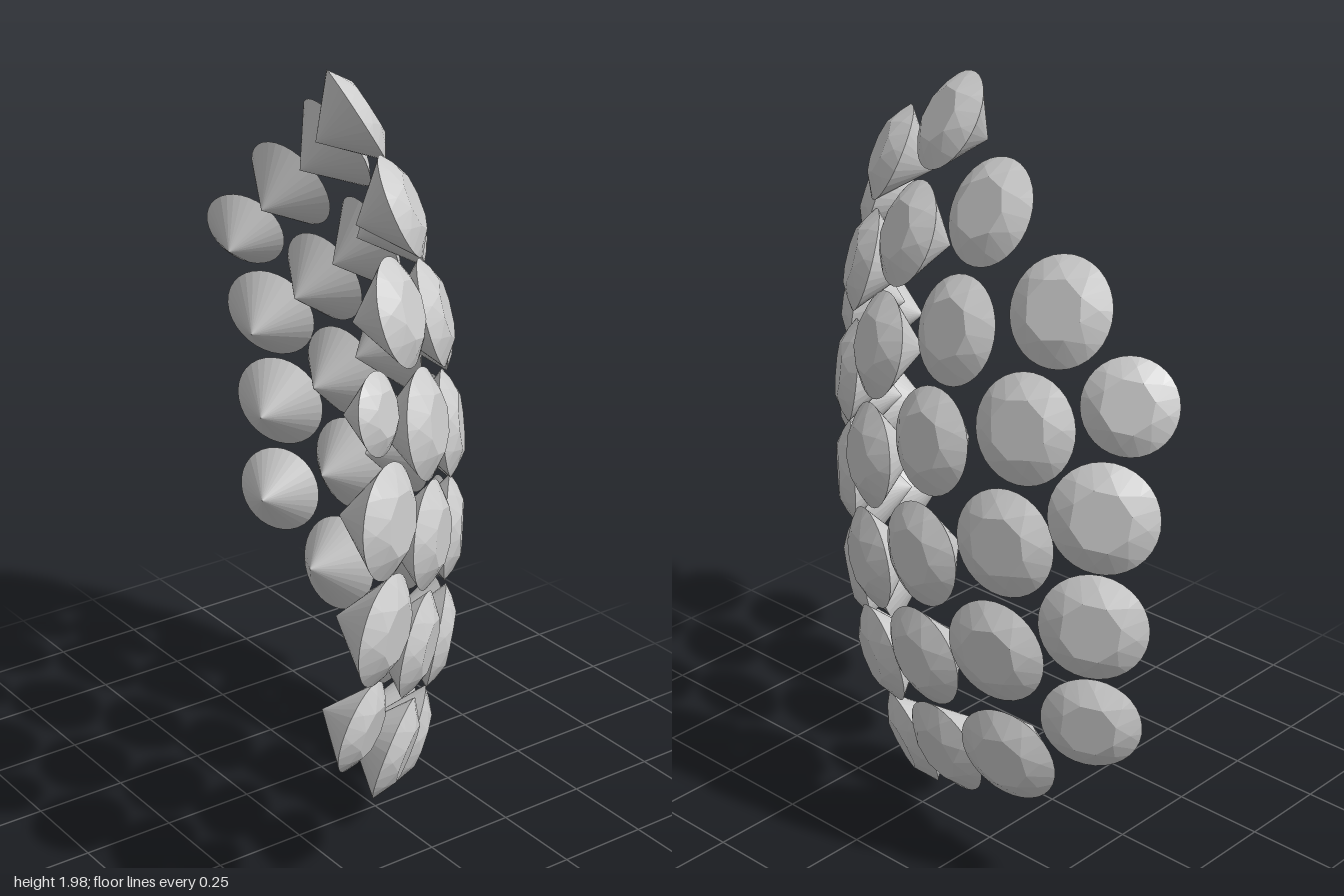
import * as THREE from 'three';
import { ConvexGeometry } from 'three/addons/geometries/ConvexGeometry.js';

// Seven columns of gems: heading of the column (degrees from +x towards +z)
// and each gem's girdle centre x, y, z with an optional radius
const RADIUS = 0.138;
const COLUMNS = [
  { heading: -29, gems: [[0.20, 1.365, -0.65, 0.12], [0.28, 1.10, -0.645], [0.31, 0.82, -0.645], [0.30, 0.545, -0.635, 0.128]] },
  { heading: -11, gems: [[0.21, 1.55, -0.44], [0.305, 1.27, -0.415], [0.36, 0.98, -0.40], [0.385, 0.69, -0.395], [0.35, 0.38, -0.405]] },
  { heading: 7, gems: [[0.18, 1.73, -0.185], [0.275, 1.445, -0.16], [0.335, 1.16, -0.13], [0.365, 0.855, -0.12], [0.36, 0.56, -0.12], [0.30, 0.27, -0.14]] },
  { heading: 24, gems: [[0.06, 1.88, 0.063, 0.134], [0.175, 1.605, 0.10], [0.255, 1.32, 0.127], [0.285, 1.02, 0.138], [0.29, 0.725, 0.138], [0.26, 0.43, 0.132], [0.175, 0.14, 0.106]] },
  { heading: 41, gems: [[0.0, 1.725, 0.328, 0.133], [0.08, 1.445, 0.355], [0.125, 1.143, 0.365], [0.135, 0.852, 0.365], [0.11, 0.545, 0.36], [0.04, 0.26, 0.34]] },
  { heading: 53, gems: [[-0.15, 1.545, 0.524, 0.134], [-0.085, 1.254, 0.545], [-0.07, 0.958, 0.55], [-0.09, 0.656, 0.534], [-0.145, 0.37, 0.52]] },
  { heading: 61, gems: [[-0.30, 1.365, 0.645, 0.1], [-0.30, 1.11, 0.69, 0.141], [-0.30, 0.82, 0.677, 0.141], [-0.33, 0.545, 0.63, 0.12]] },
];

// Ring of points around the gem's axis
function ring(count, radius, height, turn = 0) {
  return Array.from({ length: count }, (_, i) => {
    const a = (i / count) * Math.PI * 2 + turn;
    return new THREE.Vector3(Math.cos(a) * radius, height, Math.sin(a) * radius);
  });
}

// Unit round-cut gem: octagonal table, faceted crown, round girdle, pointed base
function gemGeometry() {
  return new ConvexGeometry([
    ...ring(8, 0.56, 0.28),
    ...ring(8, 0.8, 0.145, Math.PI / 8),
    ...ring(32, 1, 0),
    new THREE.Vector3(0, -0.9, 0),
  ]);
}

export function createModel() {
  const model = new THREE.Group();
  model.name = 'gemShell';
  const geometry = gemGeometry();
  const material = new THREE.MeshStandardMaterial({ color: 0xcccccc, flatShading: true });
  const up = new THREE.Vector3(0, 1, 0);

  COLUMNS.forEach(({ heading, gems }, c) => {
    const column = new THREE.Group();
    column.name = `gemColumn${c + 1}`;
    const a = THREE.MathUtils.degToRad(heading);
    gems.forEach(([x, y, z, radius = RADIUS], i) => {
      // Gems lean up or down with their height on the shell
      const ny = 0.5 * (y - (0.68 + 0.05 * c));
      const flat = Math.sqrt(1 - ny * ny);
      const normal = new THREE.Vector3(Math.cos(a) * flat, ny, Math.sin(a) * flat);
      const gem = new THREE.Mesh(geometry, material);
      gem.name = `gem${c + 1}_${i + 1}`;
      gem.position.set(x, y, z);
      gem.quaternion.setFromUnitVectors(up, normal);
      gem.scale.setScalar(radius);
      column.add(gem);
    });
    model.add(column);
  });
  return model;
}
